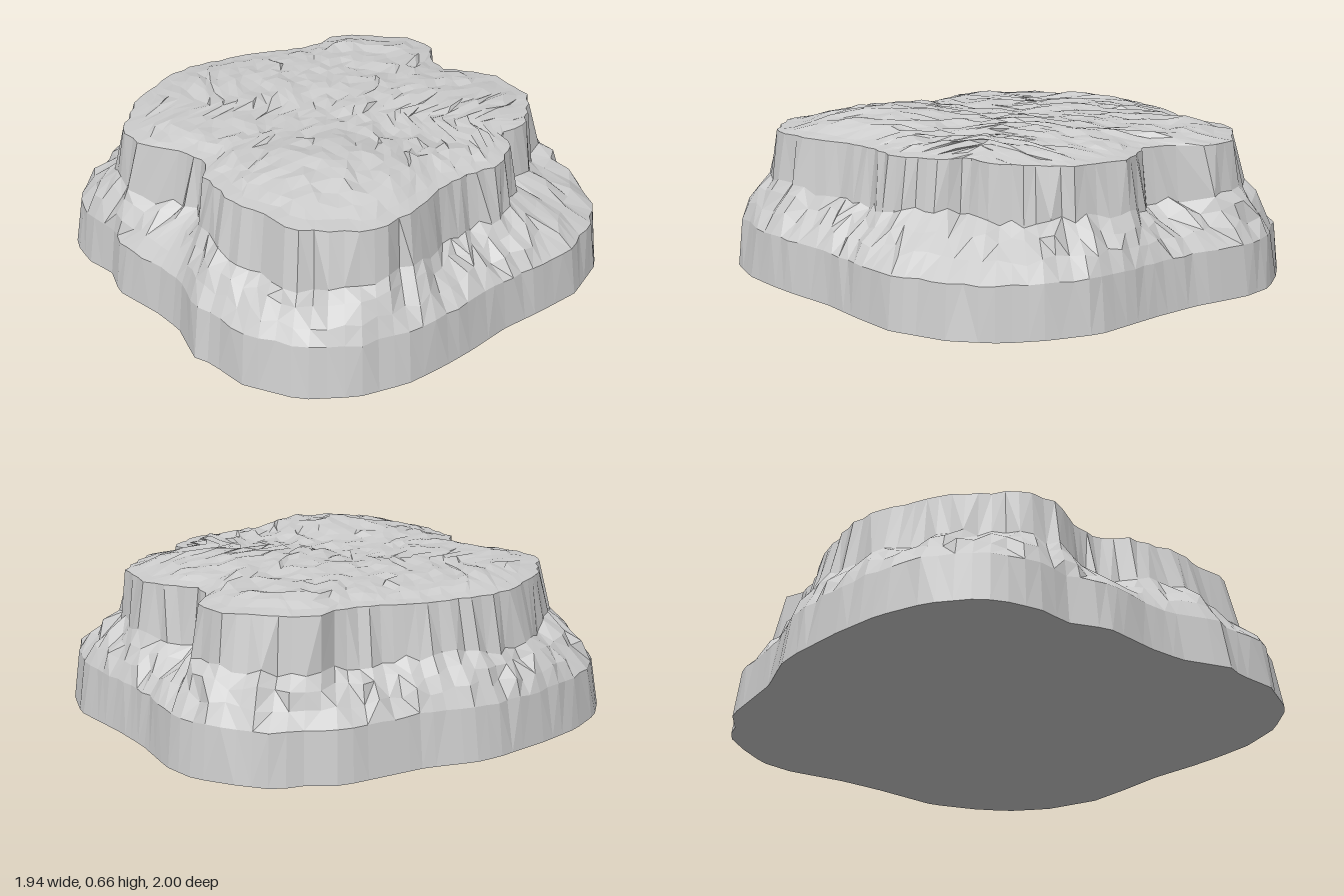
import * as THREE from 'three';

const GRID = 28;          // cells across the summit
const N = GRID * 4;       // columns around the cliff, matching the summit border
const RIM_Y = 0.575;

// Ground outline and summit outline as x, z pairs
const BASE = [0.94, 0, 0.975, 0.3, 0.92, 0.5, 0.85, 0.65, 0.72, 0.79, 0.5, 0.9, 0.3, 0.92, 0.1, 0.93, -0.1, 0.97,
  -0.25, 0.99, -0.42, 1, -0.62, 0.96, -0.8, 0.85, -0.92, 0.65, -0.94, 0.47, -0.97, 0.4, -0.92, 0.2, -0.93, 0.05,
  -0.975, -0.18, -0.93, -0.33, -0.96, -0.47, -0.94, -0.62, -0.9, -0.7, -0.78, -0.82, -0.6, -0.91, -0.4, -0.96,
  -0.15, -1, -0.05, -1, 0.15, -0.95, 0.5, -0.94, 0.62, -0.87, 0.72, -0.85, 0.82, -0.74, 0.92, -0.6, 0.95, -0.45,
  0.93, -0.2];
const RIM = [0.8, 0.05, 0.77, 0.26, 0.66, 0.4, 0.56, 0.49, 0.41, 0.49, 0.4, 0.6, 0.24, 0.7, 0.11, 0.7, -0.08, 0.72,
  -0.26, 0.81, -0.45, 0.84, -0.6, 0.74, -0.71, 0.66, -0.71, 0.5, -0.76, 0.34, -0.74, 0.13, -0.66, 0.03,
  -0.71, -0.13, -0.79, -0.25, -0.79, -0.43, -0.6, -0.64, -0.38, -0.79, -0.2, -0.82, 0, -0.81, 0.21, -0.74,
  0.38, -0.71, 0.49, -0.75, 0.61, -0.68, 0.76, -0.53, 0.77, -0.33, 0.7, -0.32, 0.66, -0.16];

// Repeatable noise in -1..1
function noise(i, k) {
  const s = Math.sin(i * 127.1 + k * 311.7) * 43758.5453;
  return (s - Math.floor(s)) * 2 - 1;
}

// Distance from the centre to an outline in direction a
function radius(outline, a) {
  const dx = Math.cos(a), dz = Math.sin(a);
  let best = 0;
  for (let i = 0; i < outline.length; i += 2) {
    const j = (i + 2) % outline.length;
    const px = outline[i], pz = outline[i + 1];
    const ex = outline[j] - px, ez = outline[j + 1] - pz;
    const den = dx * ez - dz * ex;
    if (Math.abs(den) < 1e-9) continue;
    const t = (px * ez - pz * ex) / den;
    const u = (px * dz - pz * dx) / den;
    if (t > 0 && u >= -1e-6 && u <= 1 + 1e-6) best = Math.max(best, t);
  }
  return best;
}

const rimRadius = a => radius(RIM, a) + 0.012 * Math.sin(a * 23) * Math.sin(a * 37 + 1);

// Closed ring of points; fn(angle, index) gives [radius, height]
function ring(fn) {
  return Array.from({ length: N }, (_, i) => {
    const a = i / N * Math.PI * 2;
    const [r, y] = fn(a, i);
    return [Math.cos(a) * r, y, Math.sin(a) * r];
  });
}

// Faceted skin through rings listed from bottom to top
function skin(rings) {
  const pos = [];
  for (let k = 0; k + 1 < rings.length; k++) {
    for (let i = 0; i < N; i++) {
      const j = (i + 1) % N;
      const a = rings[k][i], b = rings[k][j], c = rings[k + 1][i], d = rings[k + 1][j];
      if (noise(i, k + 40) > 0) pos.push(...a, ...c, ...b, ...b, ...c, ...d);
      else pos.push(...a, ...c, ...d, ...a, ...d, ...b);
    }
  }
  return geometryFrom(pos);
}

function geometryFrom(pos) {
  const g = new THREE.BufferGeometry();
  g.setAttribute('position', new THREE.Float32BufferAttribute(pos, 3));
  g.computeVertexNormals();
  return g;
}

// Summit height: flat border, rolling middle, one broad mound
function summitHeight(x, z, r, seed) {
  const edge = THREE.MathUtils.smoothstep(1 - r, 0, 0.22);
  const mound = 0.04 * Math.exp(-((x + 0.3) ** 2 + (z - 0.42) ** 2) / 0.07);
  const swell = 0.014 * Math.exp(-((x - 0.25) ** 2 + z ** 2) / 0.08);
  const roll = 0.008 * Math.sin(x * 6 + z * 3) * Math.cos(z * 9 - x);
  return RIM_Y + edge * (0.033 + mound + swell + roll + 0.01 * noise(seed, 9));
}

// Square grid wrapped onto the summit outline
function summitGeometry() {
  const g = new THREE.PlaneGeometry(2, 2, GRID, GRID).rotateX(-Math.PI / 2);
  const p = g.attributes.position;
  for (let i = 0; i < p.count; i++) {
    const sx = p.getX(i), sz = p.getZ(i);
    const r = Math.max(Math.abs(sx), Math.abs(sz));
    let a = 0;
    if (r > 1e-6) {
      if (Math.abs(sx) >= Math.abs(sz)) a = Math.PI / 4 * sz / sx + (sx < 0 ? Math.PI : 0);
      else a = Math.PI / 2 - Math.PI / 4 * sx / sz + (sz < 0 ? Math.PI : 0);
    }
    const d = rimRadius(a) * r;
    const loose = r < 0.99 ? 0.014 : 0;
    const x = Math.cos(a) * d + loose * noise(i, 1);
    const z = Math.sin(a) * d + loose * noise(i, 2);
    p.setXYZ(i, x, summitHeight(x, z, r, i), z);
  }
  const flat = g.toNonIndexed();
  flat.computeVertexNormals();
  return flat;
}

export function createModel() {
  const group = new THREE.Group();
  group.name = 'rockPlateau';
  const material = new THREE.MeshStandardMaterial({ color: 0xcccccc, flatShading: true });
  const add = (name, geometry) => {
    const mesh = new THREE.Mesh(geometry, material);
    mesh.name = name;
    group.add(mesh);
  };

  const ground = ring(a => [radius(BASE, a), 0]);
  const lipAt = (a, i) => [radius(BASE, a) - 0.028 + 0.008 * noise(i, 3), 0.2 + 0.004 * noise(i, 4)];
  const footAt = (a, i) => [
    Math.min(rimRadius(a) + 0.038 + 0.018 * noise(i, 5), radius(BASE, a) * 0.94),
    0.37 + 0.015 * Math.sin(a * 7) + 0.018 * noise(i, 6)];
  // Rough bulging slope between the lip and the cliff foot
  const slopeAt = t => (a, i) => {
    const [r0, y0] = lipAt(a, i), [r1, y1] = footAt(a, i);
    const rough = (r0 - r1) * 0.13;
    return [r0 + (r1 - r0) * t + rough * noise(i, 7 + t),
      y0 + (y1 - y0) * (t + 0.3 * t * (1 - t)) + 0.014 * noise(i, 8 + t)];
  };
  const lip = ring(lipAt), foot = ring(footAt);
  const rim = ring(a => [rimRadius(a), RIM_Y]);

  add('baseWall', skin([ground, lip]));
  add('slope', skin([lip, ring(slopeAt(0.33)), ring(slopeAt(0.67)), foot]));
  add('upperCliff', skin([foot, rim]));
  add('summit', summitGeometry());

  // Flat underside
  const under = [];
  ground.forEach((p, i) => under.push(0, 0, 0, ...p, ...ground[(i + 1) % N]));
  add('underside', geometryFrom(under));
  return group;
}
